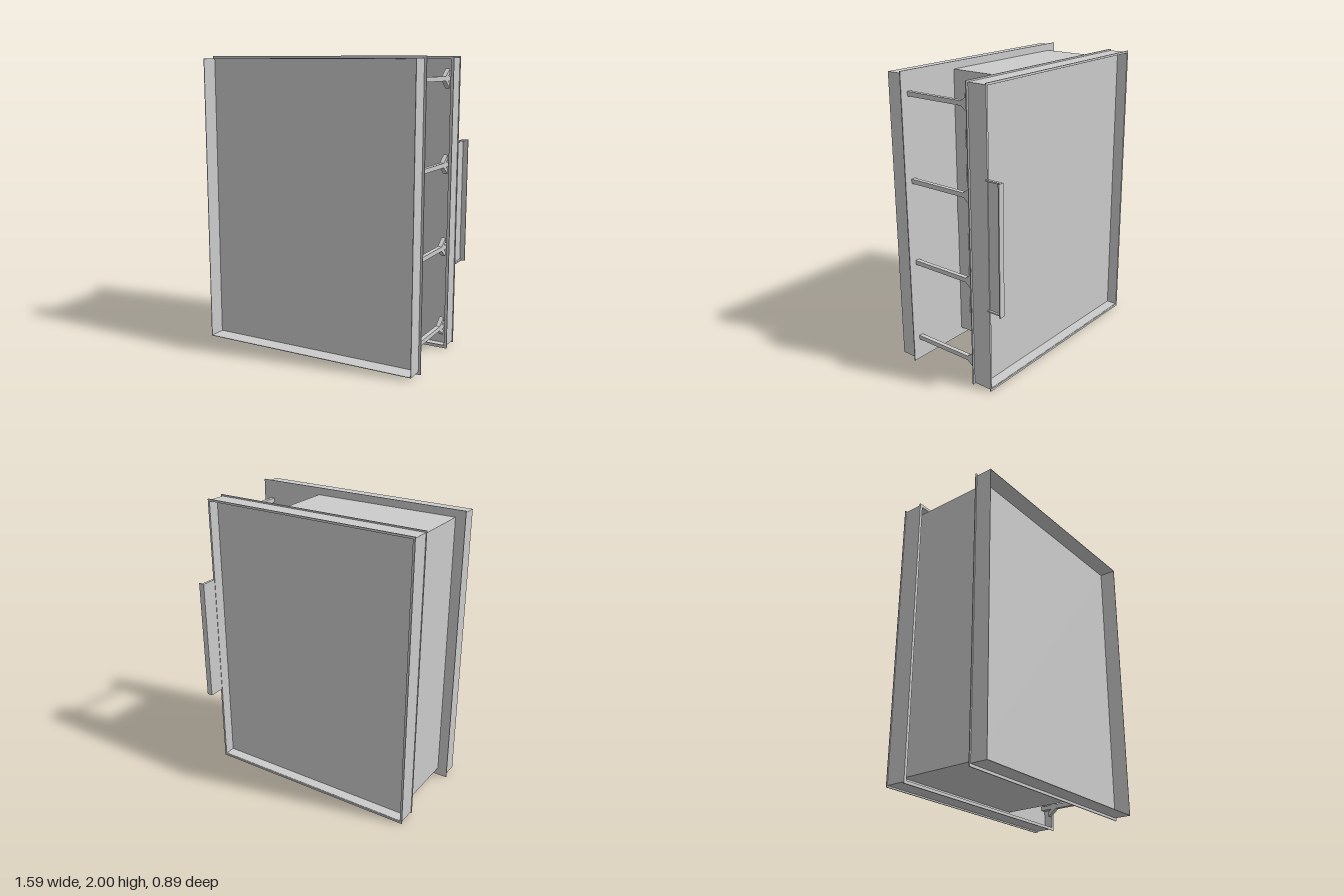
import * as THREE from 'three';

// A porch-fronted building lying on its back: its floor faces +z, its roof -z, its porch +x.
export function createModel() {
  const model = new THREE.Group();
  const material = new THREE.MeshStandardMaterial({ color: 0xcccccc, side: THREE.DoubleSide });

  // Box from its limits on each axis
  function box(name, x0, x1, y0, y1, z0, z1, parent = model) {
    const mesh = new THREE.Mesh(new THREE.BoxGeometry(x1 - x0, y1 - y0, z1 - z0), material);
    mesh.position.set((x0 + x1) / 2, (y0 + y1) / 2, (z0 + z1) / 2);
    mesh.name = name;
    parent.add(mesh);
    return mesh;
  }

  // Rectangular ring of wall thickness t, open along z
  function ring(name, x0, x1, y0, y1, z0, z1, t) {
    const shape = new THREE.Shape([[x0, y0], [x1, y0], [x1, y1], [x0, y1]].map(p => new THREE.Vector2(...p)));
    shape.holes.push(new THREE.Path(
      [[x0 + t, y0 + t], [x0 + t, y1 - t], [x1 - t, y1 - t], [x1 - t, y0 + t]].map(p => new THREE.Vector2(...p))));
    const mesh = new THREE.Mesh(new THREE.ExtrudeGeometry(shape, { depth: z1 - z0, bevelEnabled: false }), material);
    mesh.position.z = z0;
    mesh.name = name;
    model.add(mesh);
  }

  // Foundation: deck panel with a skirt open underneath
  box('deck', -0.797, 0.79, 0, 2, 0.32, 0.327);
  ring('foundationSkirt', -0.788, 0.775, 0.018, 1.985, 0.327, 0.443, 0.004);

  // House body
  box('houseBody', -0.727, 0.315, 0.055, 1.95, -0.25, 0.32);

  // Roof: sunken panel inside a parapet with trim on both edges
  box('roofPanel', -0.772, 0.748, 0.012, 1.988, -0.256, -0.25);
  ring('parapet', -0.778, 0.752, 0.01, 1.99, -0.33, -0.19, 0.006);
  ring('lowerTrim', -0.782, 0.765, 0, 2, -0.195, -0.187, 0.02);
  ring('upperTrim', -0.782, 0.757, 0, 2, -0.336, -0.328, 0.014);

  // Raised false front over the porch
  const falseFront = new THREE.Group();
  falseFront.name = 'falseFront';
  model.add(falseFront);
  box('signBoard', 0.746, 0.752, 0.58, 1.43, -0.442, -0.328, falseFront);
  box('signCap', 0.746, 0.787, 0.575, 1.435, -0.447, -0.439, falseFront);
  for (const y of [0.575, 1.425]) box('signSideTrim', 0.746, 0.766, y, y + 0.01, -0.442, -0.328, falseFront);

  // Door and windows on the porch wall
  box('door', 0.315, 0.319, 0.895, 1.105, -0.08, 0.322);
  for (const y of [0.2, 0.445, 0.69, 1.19, 1.435, 1.68]) {
    const win = new THREE.Group();
    win.name = 'window';
    model.add(win);
    for (let i = 0; i < 5; i++) {
      const z = -0.122 + i * 0.087;
      box('windowUpright', 0.315, 0.32, y, y + 0.127, z, z + 0.006, win);
    }
    for (let i = 0; i < 4; i++) {
      const h = y + i * 0.0403;
      box('windowRail', 0.315, 0.32, h, h + 0.006, -0.122, 0.232, win);
    }
  }

  // Porch posts, each with two diagonal braces under the roof
  for (const y of [0.16, 0.722, 1.289, 1.855]) {
    const post = new THREE.Group();
    post.name = 'porchPost';
    model.add(post);
    box('postShaft', 0.708, 0.738, y - 0.015, y + 0.015, -0.25, 0.32, post);
    for (const s of [-1, 1]) {
      const shape = new THREE.Shape([[0.12, 0.013], [0.19, 0.064], [0.19, 0.032], [0.163, 0.013]]
        .map(([h, d]) => new THREE.Vector2(h, d * s)));
      const brace = new THREE.Mesh(new THREE.ExtrudeGeometry(shape, { depth: 0.03, bevelEnabled: false }), material);
      brace.name = 'postBrace';
      brace.rotation.y = Math.PI / 2; // shape x runs toward -z, depth toward +x
      brace.position.set(0.708, y, 0);
      post.add(brace);
    }
  }
  return model;
}
